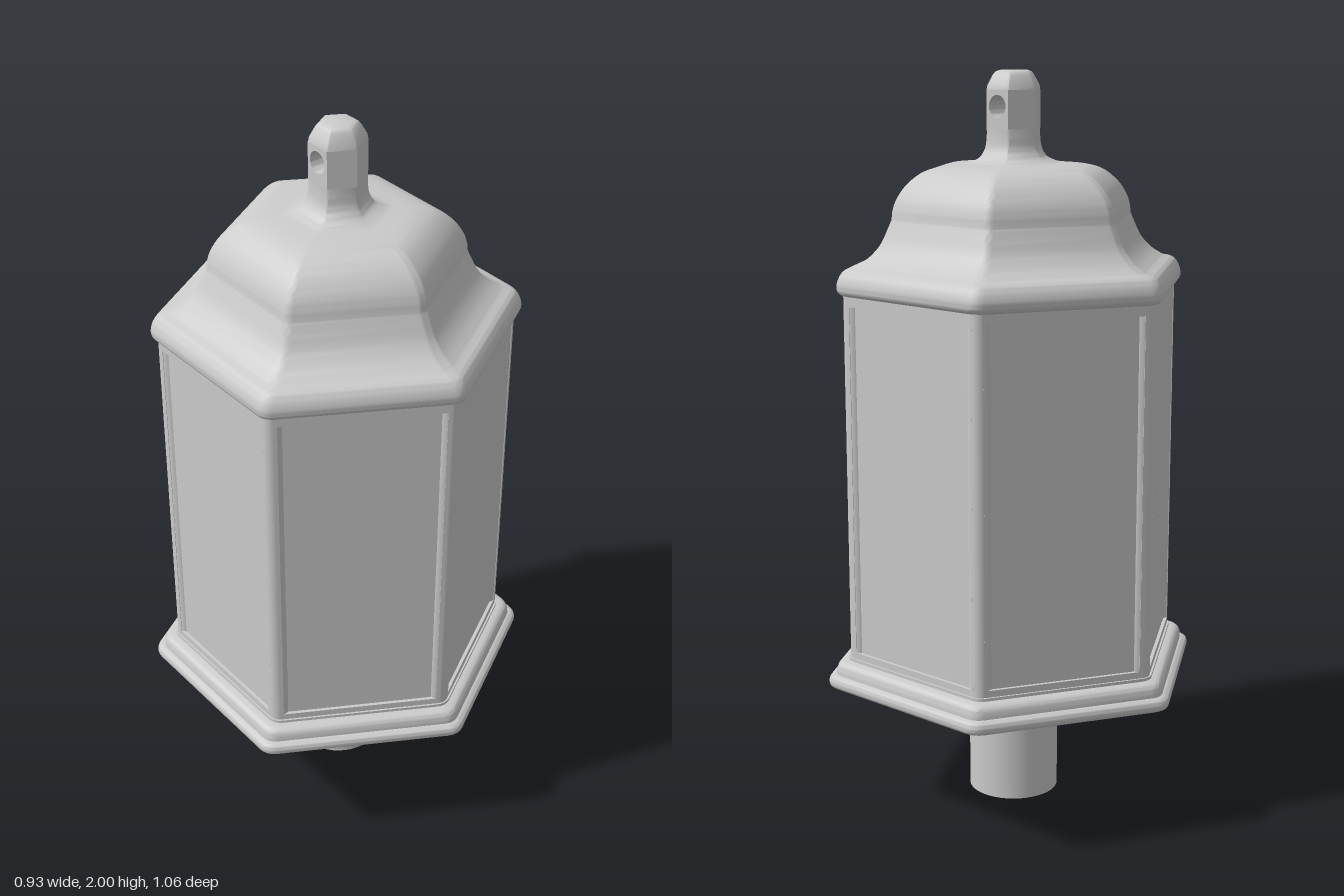
import * as THREE from 'three';
import { toCreasedNormals } from 'three/addons/utils/BufferGeometryUtils.js';

const material = new THREE.MeshStandardMaterial({ color: 0xcccccc });
const COS30 = Math.cos(Math.PI / 6);

// Unit hexagon (flat-to-centre distance 1, corners on z) with rounded corners
const hexagon = [];
for (let k = 0; k < 6; k++) {
  const corner = k * Math.PI / 3, r = 0.1, d = (1 - r) / COS30;
  for (let s = 0; s <= 4; s++) {
    const t = corner + (s / 4 - 0.5) * Math.PI / 3;
    hexagon.push([d * Math.sin(corner) + r * Math.sin(t), d * Math.cos(corner) + r * Math.cos(t)]);
  }
}

// Hexagonal solid from a bottom-to-top profile of [flat distance, y]
function hexLoft(profile) {
  const n = hexagon.length, pos = [], idx = [];
  for (const [a, y] of profile) for (const [x, z] of hexagon) pos.push(a * x, y, a * z);
  for (let i = 0; i < profile.length - 1; i++) {
    for (let j = 0; j < n; j++) {
      const a = i * n + j, b = i * n + (j + 1) % n, c = b + n, d = a + n;
      if (profile[i][0] > 0) idx.push(a, b, c);
      else idx.push(a, c, d);
      if (profile[i][0] > 0 && profile[i + 1][0] > 0) idx.push(a, c, d);
    }
  }
  const g = new THREE.BufferGeometry();
  g.setAttribute('position', new THREE.Float32BufferAttribute(pos, 3));
  g.setIndex(idx);
  return toCreasedNormals(g, 0.6);
}

// Smooth run of profile points
const smooth = (points, steps) =>
  new THREE.SplineCurve(points.map(p => new THREE.Vector2(...p))).getPoints(steps).map(p => [p.x, p.y]);

function rectPath(PathType, w, y0, y1) {
  const p = new PathType();
  p.moveTo(-w, y0);
  p.lineTo(w, y0);
  p.lineTo(w, y1);
  p.lineTo(-w, y1);
  p.closePath();
  return p;
}

export function createModel() {
  const model = new THREE.Group();
  const add = (name, geometry, parent = model) => {
    const mesh = new THREE.Mesh(geometry, material);
    mesh.name = name;
    parent.add(mesh);
    return mesh;
  };

  // Mounting stem
  add('stem', new THREE.CylinderGeometry(0.124, 0.124, 0.36, 48)).position.y = 0.18;

  // Stepped base with rounded edges
  add('base', hexLoft([
    [0, 0.35], [0.455, 0.35],
    ...smooth([[0.455, 0.35], [0.463, 0.356], [0.466, 0.367], [0.463, 0.38], [0.455, 0.386]], 10).slice(1),
    [0.447, 0.387],
    ...smooth([[0.447, 0.387], [0.445, 0.405], [0.438, 0.418], [0.425, 0.423]], 8).slice(1),
    [0.415, 0.424], [0.415, 0.432], [0, 0.432],
  ]));

  // Six glazed sides: recessed panel, frame and corner post
  const frameShape = rectPath(THREE.Shape, 0.219, 0.425, 1.43);
  frameShape.holes.push(rectPath(THREE.Path, 0.211, 0.45, 1.4));
  const frameGeo = new THREE.ExtrudeGeometry(frameShape, { depth: 0.02, bevelEnabled: false });
  const panelGeo = new THREE.BoxGeometry(0.44, 1, 0.02);
  const postGeo = new THREE.CylinderGeometry(0.03, 0.03, 1.005, 24);
  for (let k = 0; k < 6; k++) {
    const side = new THREE.Group();
    side.name = 'side' + (k + 1);
    side.rotation.y = Math.PI / 6 + k * Math.PI / 3;
    model.add(side);
    add('panel', panelGeo, side).position.set(0, 0.9275, 0.391);
    add('frame', frameGeo, side).position.z = 0.39;
    add('cornerPost', postGeo, side).position.set(0.2194, 0.9275, 0.38);
  }

  // Bell-shaped roof with rolled eave, rising into the neck of the finial
  add('roof', hexLoft([
    [0, 1.425], [0.408, 1.425],
    ...smooth([[0.408, 1.425], [0.421, 1.431], [0.427, 1.446], [0.423, 1.468], [0.412, 1.488], [0.398, 1.497]], 14).slice(1),
    ...smooth([[0.382, 1.5], [0.35, 1.522], [0.322, 1.555], [0.304, 1.595], [0.294, 1.62]], 16),
    ...smooth([[0.293, 1.638], [0.284, 1.668], [0.262, 1.704], [0.225, 1.737], [0.18, 1.753], [0.12, 1.76]], 20),
    ...smooth([[0.108, 1.762], [0.083, 1.775], [0.069, 1.8], [0.065, 1.835]], 12),
    [0.065, 1.85], [0, 1.85],
  ]));

  // Finial: pierced middle slab, two side wedges and a chamfered cap
  const finial = new THREE.Group();
  finial.name = 'finial';
  model.add(finial);
  const A = 0.065, half = A * Math.tan(Math.PI / 6), y0 = 1.85, y1 = 1.95;
  const slab = rectPath(THREE.Shape, half, y0, y1);
  slab.holes.push(new THREE.Path().absarc(0, 1.908, 0.029, 0, Math.PI * 2, true));
  const slabGeo = new THREE.ExtrudeGeometry(slab, { depth: 2 * A, bevelEnabled: false, curveSegments: 24 });
  slabGeo.translate(0, 0, -A).rotateY(Math.PI / 2);
  add('piercedSlab', toCreasedNormals(slabGeo, 0.6), finial);

  const wedge = new THREE.Shape([[-A, half], [0, -0.0 + half * 2], [A, half]].map(p => new THREE.Vector2(...p)));
  const wedgeGeo = new THREE.ExtrudeGeometry(wedge, { depth: y1 - y0, bevelEnabled: false });
  wedgeGeo.rotateX(-Math.PI / 2).translate(0, y0, 0);
  for (const turn of [0, Math.PI]) add('sideWedge', wedgeGeo, finial).rotation.y = turn;

  add('finialCap', hexLoft([
    [0, y1], [A, y1], [0.063, 1.962], [0.05, 1.988], [0.044, 1.996], [0.034, 2], [0, 2],
  ]), finial);

  return model;
}
